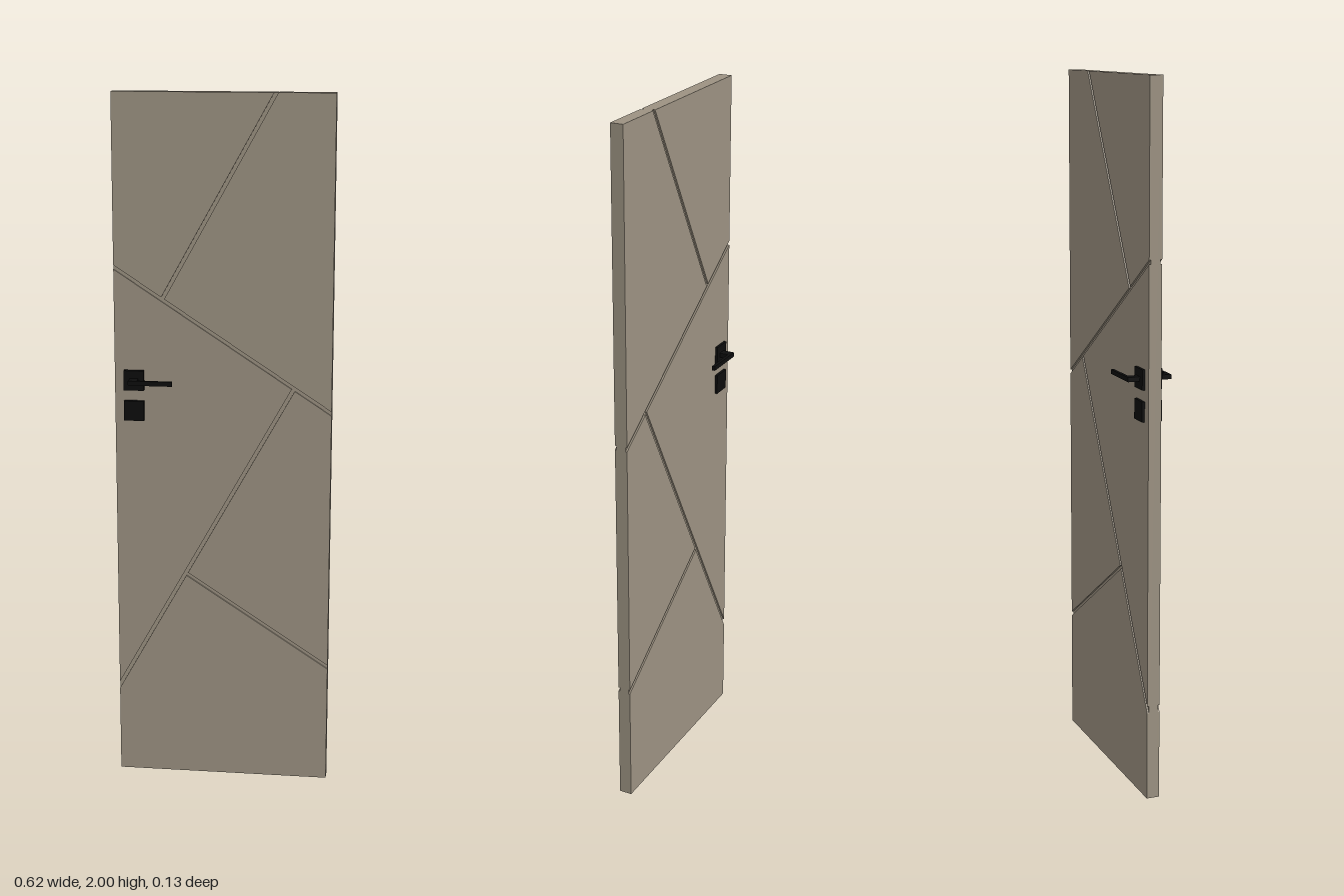
import * as THREE from 'three';

const W = 0.308, H = 2;               // half width, height
const BACK = -0.0215, FRONT = 0.0155; // faces of the door leaf
const DEPTH = 0.005, GAP = 0.005;     // groove depth, half groove width

const wood = new THREE.MeshStandardMaterial({ color: 0x9c9282 });
wood.name = 'taupe';
const metal = new THREE.MeshStandardMaterial({ color: 0x0d0d0d });
metal.name = 'black metal';

function box(name, material, x0, x1, y0, y1, z0, z1) {
  const mesh = new THREE.Mesh(new THREE.BoxGeometry(x1 - x0, y1 - y0, z1 - z0), material);
  mesh.position.set((x0 + x1) / 2, (y0 + y1) / 2, (z0 + z1) / 2);
  mesh.name = name;
  return mesh;
}

// Groove centre lines: y = slope * x + offset
const upperSteep = { m: 1.8, c: 1.738 };
const upperCross = { m: -0.656, c: 1.316 };
const lowerSteep = { m: 1.8, c: 0.82 };
const lowerCross = { m: -0.656, c: 0.554 };

// Keeps the part of a polygon above (side 1) or below (side -1) a groove
function clip(points, { m, c }, side) {
  const dist = (p) => side * (p.y - m * p.x - c) / Math.hypot(m, 1) - GAP;
  const out = [];
  points.forEach((a, i) => {
    const b = points[(i + 1) % points.length];
    const da = dist(a), db = dist(b);
    if (da >= 0) out.push(a);
    if (da * db < 0) out.push(a.clone().lerp(b, da / (da - db)));
  });
  return out;
}

// Raised panels, each bounded by the grooves listed
const panels = [
  [[upperCross, 1], [upperSteep, 1]],
  [[upperCross, 1], [upperSteep, -1]],
  [[upperCross, -1], [lowerSteep, 1]],
  [[upperCross, -1], [lowerSteep, -1], [lowerCross, 1]],
  [[lowerSteep, -1], [lowerCross, -1]],
];

export function createModel() {
  const door = new THREE.Group();
  door.name = 'door';

  // Leaf: a core with raised panels on both faces, leaving grooves between
  const leaf = new THREE.Group();
  leaf.name = 'leaf';
  leaf.add(box('core', wood, -W, W, 0, H, BACK + DEPTH, FRONT - DEPTH));
  const outline = [[-W, 0], [W, 0], [W, H], [-W, H]].map(([x, y]) => new THREE.Vector2(x, y));
  panels.forEach((cuts, i) => {
    const points = cuts.reduce((p, [line, side]) => clip(p, line, side), outline);
    const geometry = new THREE.ExtrudeGeometry(new THREE.Shape(points), { depth: DEPTH, bevelEnabled: false });
    [['frontPanel', FRONT - DEPTH], ['backPanel', BACK]].forEach(([name, z]) => {
      const panel = new THREE.Mesh(geometry, wood);
      panel.position.z = z;
      panel.name = name + (i + 1);
      leaf.add(panel);
    });
  });
  door.add(leaf);

  // Handle set on each face
  for (const [name, s, face] of [['front', 1, FRONT], ['back', -1, -BACK]]) {
    const set = new THREE.Group();
    set.name = name + 'HandleSet';
    const part = (label, x0, x1, y0, y1, a, b) =>
      set.add(box(label, metal, x0, x1, y0, y1, Math.min(s * a, s * b), Math.max(s * a, s * b)));
    part('handlePlate', -0.281, -0.224, 1.169, 1.226, face, 0.029);
    part('lockPlate', -0.281, -0.224, 1.081, 1.138, face, 0.029);
    part('neck', -0.263, -0.239, 1.191, 1.204, 0.029, 0.063);
    part('lever', -0.239, -0.138, 1.191, 1.204, 0.054, 0.063);
    door.add(set);
  }
  return door;
}
